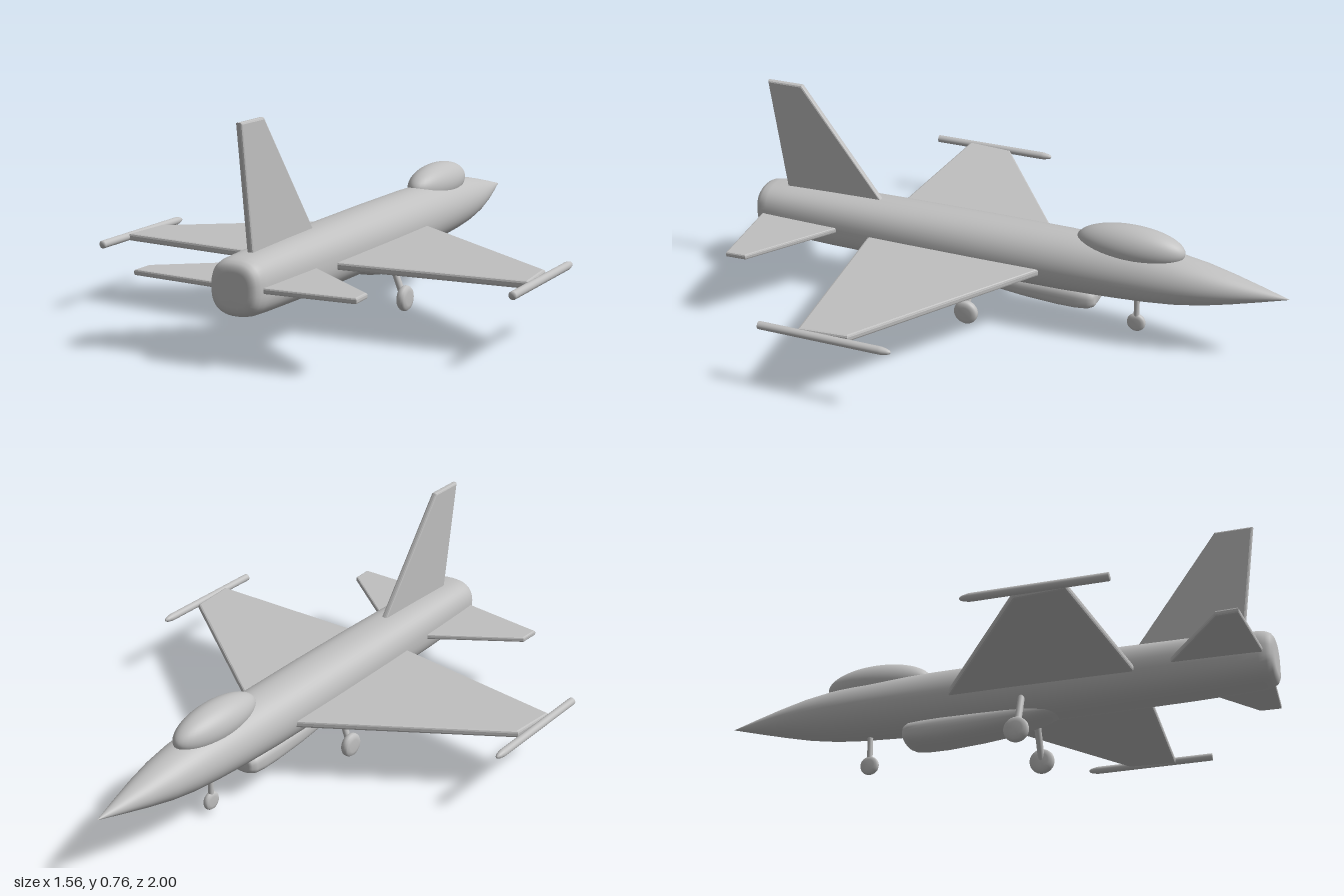
import * as THREE from 'three';

const grey = new THREE.MeshStandardMaterial({ color: 0xc0c0c0 });
grey.name = 'light grey';

function part(name, geometry, parent) {
  const mesh = new THREE.Mesh(geometry, grey);
  mesh.name = name;
  parent.add(mesh);
  return mesh;
}

// Skin through superellipse sections [z, centre y, half width, half height, exponent], nose to tail
function loft(sections, sides = 48) {
  const pos = [], index = [];
  const bend = (v, n) => Math.sign(v) * Math.pow(Math.abs(v), 2 / n);
  sections.forEach(([z, cy, rx, ry, n = 2], i) => {
    for (let j = 0; j < sides; j++) {
      const a = (j / sides) * Math.PI * 2;
      pos.push(bend(Math.cos(a), n) * rx, cy + bend(Math.sin(a), n) * ry, z);
      if (i === sections.length - 1) continue;
      const p = i * sides + j, q = i * sides + (j + 1) % sides;
      index.push(p, q, p + sides, q, q + sides, p + sides);
    }
  });
  const geo = new THREE.BufferGeometry();
  geo.setAttribute('position', new THREE.Float32BufferAttribute(pos, 3));
  geo.setIndex(index);
  geo.computeVertexNormals();
  return geo;
}

// Flat panel with softened edges, centred on its own thickness
function panel(points, thickness) {
  const b = thickness * 0.3;
  const geo = new THREE.ExtrudeGeometry(new THREE.Shape(points.map(p => new THREE.Vector2(...p))), {
    depth: thickness - 2 * b, bevelThickness: b, bevelSize: b, bevelOffset: -b, bevelSegments: 2,
  });
  return geo.translate(0, 0, b - thickness / 2);
}

function strut(name, from, to, radius, parent) {
  const a = new THREE.Vector3(...from), b = new THREE.Vector3(...to);
  const dir = b.clone().sub(a);
  const mesh = part(name, new THREE.CylinderGeometry(radius, radius, dir.length(), 20), parent);
  mesh.position.copy(a).add(b).multiplyScalar(0.5);
  mesh.quaternion.setFromUnitVectors(new THREE.Vector3(0, 1, 0), dir.normalize());
}

// Wheel with rounded shoulders and a small hub, axle along x
function wheel(name, r, width, x, y, z, parent) {
  const h = width / 2;
  const profile = [[0, -h], [r * 0.55, -h], [r * 0.85, -h * 0.85], [r * 0.97, -h * 0.45], [r, 0],
    [r * 0.97, h * 0.45], [r * 0.85, h * 0.85], [r * 0.55, h], [0, h]];
  const geo = new THREE.LatheGeometry(profile.map(p => new THREE.Vector2(...p)), 32);
  part(name, geo.rotateZ(Math.PI / 2), parent).position.set(x, y, z);
}

export function createModel() {
  const jet = new THREE.Group();
  jet.name = 'jet';

  // Fuselage: pointed nose, round middle, squarer tail with a rounded end
  part('fuselage', loft([
    [-1, 0.25, 0, 0], [-0.9, 0.25, 0.03, 0.026], [-0.8, 0.25, 0.058, 0.051], [-0.7, 0.25, 0.08, 0.074],
    [-0.6, 0.25, 0.094, 0.09], [-0.5, 0.25, 0.102, 0.099], [-0.38, 0.25, 0.108, 0.105],
    [-0.2, 0.25, 0.112, 0.11, 2.05], [0.1, 0.25, 0.113, 0.11, 2.15], [0.4, 0.25, 0.11, 0.107, 2.3],
    [0.7, 0.25, 0.104, 0.102, 2.5], [0.88, 0.25, 0.098, 0.097, 2.6], [0.95, 0.25, 0.095, 0.094, 2.6],
    [0.975, 0.25, 0.09, 0.09, 2.6], [0.99, 0.25, 0.082, 0.082, 2.6], [0.998, 0.25, 0.07, 0.07, 2.6],
    [1, 0.25, 0.055, 0.055, 2.6], [1, 0.25, 0, 0, 2.6],
  ]), jet);

  // Canopy bubble
  const canopy = part('canopy', new THREE.SphereGeometry(1, 40, 28), jet);
  canopy.scale.set(0.073, 0.073, 0.196);
  canopy.position.set(0, 0.35, -0.43);

  // Air intake under the belly, blunt in front and fading into the body behind
  part('airIntake', loft([
    [-0.32, 0.13, 0, 0, 2.8], [-0.32, 0.13, 0.052, 0.024, 2.8], [-0.314, 0.13, 0.064, 0.034, 2.8],
    [-0.295, 0.13, 0.073, 0.043, 2.8], [-0.25, 0.13, 0.076, 0.048, 2.8], [-0.18, 0.132, 0.077, 0.051, 2.7],
    [-0.05, 0.136, 0.076, 0.047, 2.6], [0.06, 0.142, 0.072, 0.042, 2.5], [0.14, 0.15, 0.065, 0.036, 2.4],
    [0.2, 0.158, 0.054, 0.029, 2.2], [0.24, 0.162, 0.04, 0.018, 2.2], [0.26, 0.165, 0, 0],
  ]), jet);

  // Upright tail fin
  part('tailFin', panel([[0.48, 0.3], [0.89, 0.3], [0.95, 0.76], [0.815, 0.76]], 0.022)
    .rotateY(-Math.PI / 2), jet);

  for (const s of [1, -1]) {
    const side = s > 0 ? 'left' : 'right';
    const flat = (points, t) => panel(points.map(([x, z]) => [s * x, -z]), t).rotateX(-Math.PI / 2);

    // Main wing and tailplane
    part(side + 'Wing', flat([[0.04, -0.178], [0.745, 0.305], [0.76, 0.48], [0.04, 0.536]], 0.026), jet)
      .position.y = 0.237;
    part(side + 'Tailplane', flat([[0.04, 0.612], [0.4, 0.87], [0.403, 0.946], [0.04, 0.97]], 0.02), jet)
      .position.y = 0.249;

    // Wingtip rod with a tapered front
    const rod = [[0, 0], [0.014, 0], [0.014, 0.44], [0.0135, 0.45], [0.01, 0.468], [0.006, 0.478], [0, 0.482]];
    part(side + 'WingtipRod', new THREE.LatheGeometry(rod.map(p => new THREE.Vector2(...p)), 24)
      .rotateX(-Math.PI / 2), jet).position.set(s * 0.768, 0.237, 0.62);

    // Main landing gear, splayed outwards
    strut(side + 'MainStrut', [s * 0.09, 0.19, 0.13], [s * 0.147, 0.045, 0.13], 0.012, jet);
    wheel(side + 'MainWheel', 0.045, 0.034, s * 0.152, 0.045, 0.13, jet);
  }

  // Nose landing gear
  strut('noseStrut', [0, 0.17, -0.46], [0, 0.045, -0.46], 0.01, jet);
  wheel('noseWheel', 0.034, 0.024, 0, 0.044, -0.46, jet);

  return jet;
}
